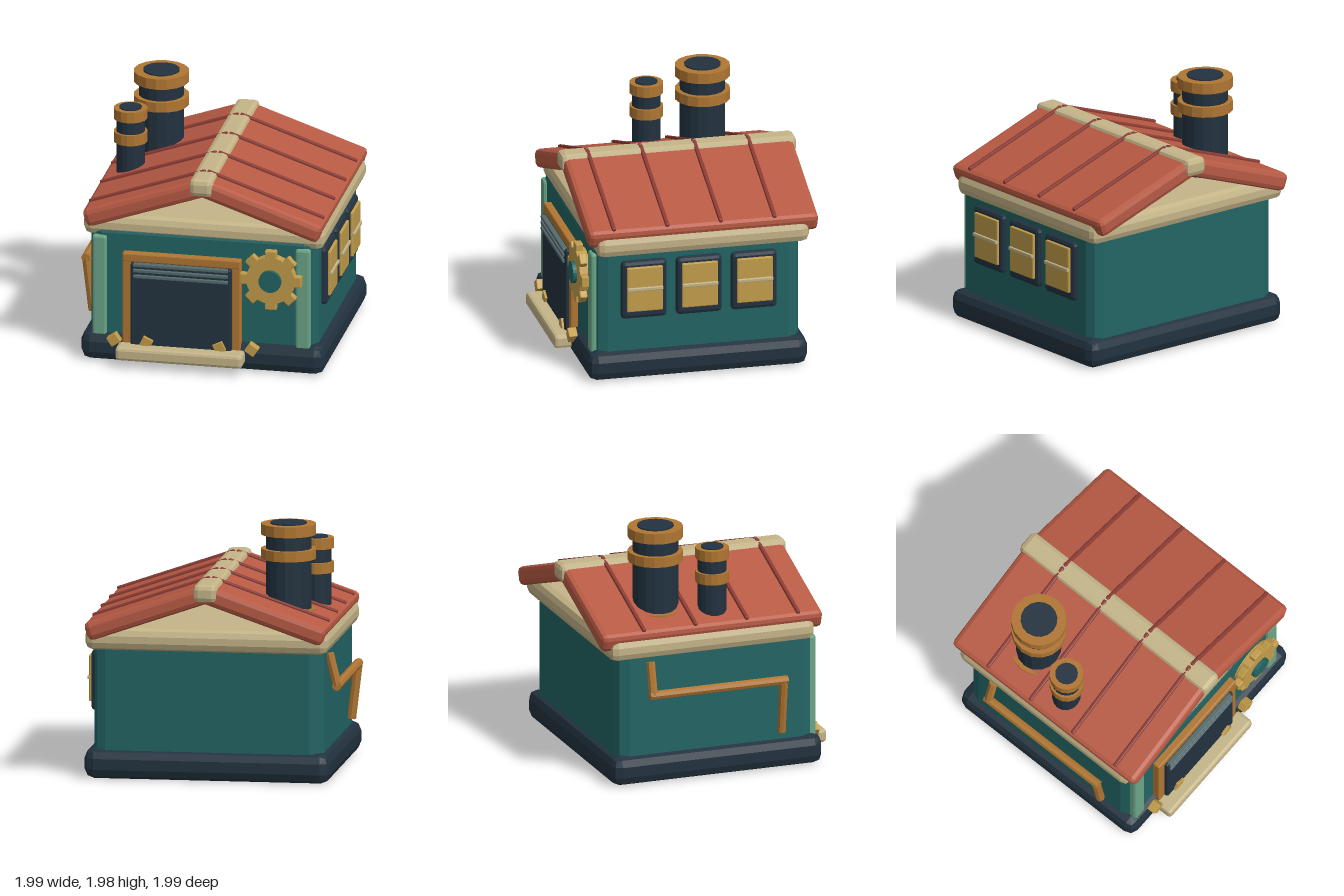
import * as THREE from 'three';
import { RoundedBoxGeometry } from 'three/addons/geometries/RoundedBoxGeometry.js';

const mat = (name, color) => {
  const m = new THREE.MeshStandardMaterial({ color, flatShading: true });
  m.name = name;
  return m;
};

export function createModel() {
  const model = new THREE.Group();
  model.name = 'workshop';
  const red = mat('roof red', 0xb85a44);
  const darkRed = mat('rib red', 0x8a3b33);
  const teal = mat('wall teal', 0x236464);
  const navy = mat('dark navy', 0x22323f);
  const cream = mat('cream', 0xc4b488);
  const bronze = mat('bronze', 0xb07632);
  const gold = mat('gold', 0xc29c4a);
  const green = mat('post green', 0x6aa588);
  const grey = mat('slat grey', 0x566b6d);

  const add = (name, geo, material, x, y, z, parent = model) => {
    const mesh = new THREE.Mesh(geo, material);
    mesh.name = name;
    mesh.position.set(x, y, z);
    parent.add(mesh);
    return mesh;
  };
  // Bevelled block given by its extents on each axis
  const block = (name, material, [x0, x1], [y0, y1], [z0, z1], r, parent) =>
    add(name, new RoundedBoxGeometry(x1 - x0, y1 - y0, z1 - z0, 1, r), material,
      (x0 + x1) / 2, (y0 + y1) / 2, (z0 + z1) / 2, parent);
  const cyl = (name, material, r, y0, y1, x, z, parent) =>
    add(name, new THREE.CylinderGeometry(r, r, y1 - y0, 16), material, x, (y0 + y1) / 2, z, parent);

  // Body
  block('base', navy, [-0.945, 0.98], [0, 0.235], [-0.885, 0.86], 0.075);
  block('walls', teal, [-0.885, 0.915], [0.08, 1.15], [-0.835, 0.8], 0.1);
  block('cornice', cream, [-0.935, 0.97], [1.015, 1.19], [-0.9, 0.795], 0.06);
  for (const x of [-0.7975, 0.81])
    block('cornerPost', green, [x - 0.058, x + 0.058], [0.2, 1.03], [0.73, 0.825], 0.02);

  // Roof halves with raised ribs
  for (const s of [-1, 1]) {
    const half = new THREE.Group();
    half.name = s > 0 ? 'roofLeft' : 'roofRight';
    half.position.set(0.018, 1.483, 0);
    half.rotation.z = -s * 0.332;
    model.add(half);
    const span = (a, b) => (s > 0 ? [a, b] : [-b, -a]);
    block('roofSlab', red, span(-0.03, 0.985), [-0.0735, 0.0735], [-0.97, 0.86], 0.04, half);
    for (const z of [0.657, 0.232, -0.193, -0.62])
      block('roofRib', darkRed, span(-0.02, 0.955), [0.05, 0.094], [z - 0.016, z + 0.016], 0.01, half);
  }
  block('ridgeCap', cream, [-0.08, 0.107], [1.42, 1.563], [-0.995, 0.88], 0.04);

  // Chimneys: pipe, cap disc and collars
  const chimney = (x, z, r, ringR, capR, top, rings) => {
    const g = new THREE.Group();
    g.name = 'chimney';
    model.add(g);
    cyl('pipe', navy, r, 1.18, top - 0.05, x, z, g);
    cyl('cap', navy, capR, top - 0.06, top, x, z, g);
    for (const [a, b] of rings) cyl('collar', bronze, ringR, a, b, x, z, g);
  };
  chimney(-0.555, -0.395, 0.178, 0.216, 0.143, 1.98, [[1.885, 1.97], [1.695, 1.775], [1.225, 1.305]]);
  chimney(-0.715, 0.015, 0.112, 0.132, 0.088, 1.81, [[1.715, 1.8], [1.525, 1.61]]);

  // Door: frame, shutter, slats and step
  const frame = new THREE.Group();
  frame.name = 'doorFrame';
  model.add(frame);
  block('frameTop', bronze, [-0.61, 0.327], [0.84, 0.915], [0.77, 0.86], 0.012, frame);
  block('frameSide', bronze, [-0.61, -0.53], [0.15, 0.9], [0.77, 0.858], 0.012, frame);
  block('frameSide', bronze, [0.25, 0.327], [0.15, 0.9], [0.77, 0.858], 0.012, frame);
  block('shutter', navy, [-0.54, 0.257], [0.13, 0.845], [0.78, 0.885], 0.015);
  for (const y of [0.833, 0.787, 0.74])
    block('shutterSlat', grey, [-0.515, 0.233], [y - 0.014, y + 0.014], [0.86, 0.902], 0.006);
  block('step', cream, [-0.64, 0.362], [0.067, 0.175], [0.82, 0.995], 0.025);

  // Tilted studs beside the step
  for (const [x, y, a] of [[-0.67, 0.202, 0.6], [-0.41, 0.2, -0.45], [0.165, 0.2, 0.45], [0.42, 0.2, -0.6]]) {
    const stud = block('stud', gold, [-0.043, 0.043], [-0.04, 0.04], [-0.035, 0.035], 0.005);
    stud.position.set(x, y, 0.87);
    stud.rotation.z = a;
  }

  // Gear on the front wall
  const gear = new THREE.Group();
  gear.name = 'gear';
  gear.position.set(0.568, 0.78, 0.84);
  model.add(gear);
  const disc = (name, material, r, z0, z1) => {
    const m = add(name, new THREE.CylinderGeometry(r, r, z1 - z0, 24), material, 0, 0, (z0 + z1) / 2, gear);
    m.rotation.x = Math.PI / 2;
  };
  disc('gearWheel', gold, 0.192, -0.05, 0.045);
  disc('gearHub', teal, 0.088, -0.02, 0.075);
  for (let i = 0; i < 8; i++) {
    const a = (i * Math.PI) / 4;
    const tooth = add('gearTooth', new RoundedBoxGeometry(0.1, 0.09, 0.06, 1, 0.008), gold,
      0.193 * Math.cos(a), 0.193 * Math.sin(a), 0.015, gear);
    tooth.rotation.z = a;
  }

  // Side windows
  for (const z of [0.418, -0.02, -0.457]) {
    const w = new THREE.Group();
    w.name = 'window';
    model.add(w);
    block('windowFrame', navy, [0.87, 0.957], [0.498, 0.975], [z - 0.181, z + 0.181], 0.03, w);
    block('windowPane', gold, [0.92, 0.978], [0.565, 0.93], [z - 0.142, z + 0.142], 0.008, w);
    block('windowBar', cream, [0.95, 0.992], [0.737, 0.767], [z - 0.142, z + 0.142], 0.006, w);
  }

  // Bent pipe on the other side wall
  const pts = [[-0.9, 0.985, -0.565], [-0.962, 0.73, -0.565], [-0.962, 0.73, 0.515], [-0.91, 0.295, 0.515]]
    .map((p) => new THREE.Vector3(...p));
  for (let i = 0; i < 3; i++) {
    const dir = pts[i + 1].clone().sub(pts[i]);
    const mid = pts[i].clone().add(pts[i + 1]).multiplyScalar(0.5);
    const bar = add('sidePipe', new THREE.CylinderGeometry(0.036, 0.036, dir.length() + (i === 1 ? 0.06 : 0), 8),
      bronze, mid.x, mid.y, mid.z);
    bar.quaternion.setFromUnitVectors(new THREE.Vector3(0, 1, 0), dir.normalize());
  }
  return model;
}
